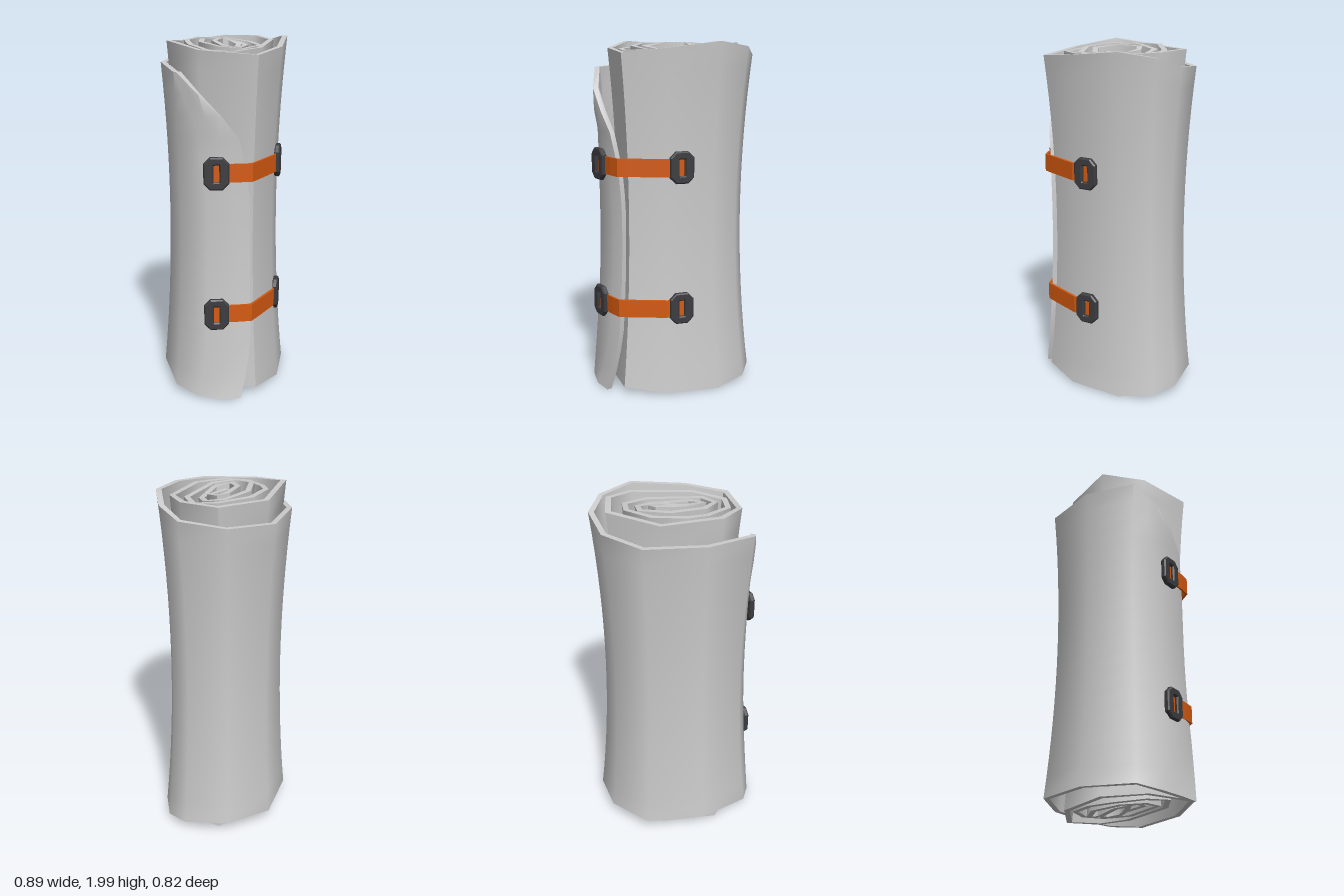
import * as THREE from 'three';
import { toCreasedNormals } from 'three/addons/utils/BufferGeometryUtils.js';

// Outer face of the rolled sheet seen from above (x, z), from the flap inwards
const SPIRAL = [
  [-0.15, 0.44], [-0.23, 0.41], [-0.385, 0.30], [-0.45, 0.104], [-0.32, -0.19],
  [-0.045, -0.412], [0.236, -0.375], [0.43, -0.206], [0.45, -0.055], [0.36, 0.13],
  [0.127, 0.341], [-0.11, 0.419], [-0.32, 0.17], [-0.338, -0.085], [-0.08, -0.286],
  [0.243, -0.30], [0.36, -0.12], [0.32, 0.06], [0.04, 0.275], [-0.17, 0.285],
  [-0.26, 0.157], [-0.23, -0.036], [-0.168, -0.157], [-0.005, -0.25], [0.188, -0.21],
  [0.28, -0.09], [0.226, 0.073], [-0.05, 0.235], [-0.18, 0.157], [-0.19, 0.007],
  [-0.06, -0.145], [0.122, -0.18], [0.2, -0.085], [0.17, 0.012], [-0.01, 0.16],
  [-0.127, 0.121], [-0.076, -0.024], [0.05, -0.114], [0.115, -0.085], [0.115, 0.017],
  [0.06, 0.06], [-0.04, 0.08],
].map(([x, z]) => new THREE.Vector2(x, z));

// Edge heights along the first turn; inner turns ripple gently
const TOPS = [1.85, 1.85, 1.85, 1.85, 1.87, 1.88, 1.89, 1.92, 1.97, 2.0, 1.965, 1.94, 1.96, 1.995];
const BOTTOMS = [0.02, 0.01, 0.01, 0.05, 0.07, 0.08, 0.075, 0.06, 0.035, 0.01, 0.02, 0.045, 0.03, 0.01];
// Height -> spiral position of the slanted flap edge
const FLAP = [[0.02, 0.9], [0.1, 0.6], [0.33, 0.05], [0.75, 0], [1.1, 0], [1.3, 0.28], [1.55, 1.1], [1.85, 2.9]];
const THICK = 0.03;
const ROWS = 16;

const waist = y => 0.86 + 0.14 * (y - 1) ** 2;

function lerpList(list, p) {
  const i = Math.min(Math.floor(p), list.length - 2);
  return THREE.MathUtils.lerp(list[i], list[i + 1], p - i);
}

function flapStart(y) {
  if (y <= FLAP[0][0]) return FLAP[0][1];
  for (let i = 1; i < FLAP.length; i++) {
    const [y0, p0] = FLAP[i - 1], [y1, p1] = FLAP[i];
    if (y <= y1) return p0 + (p1 - p0) * (y - y0) / (y1 - y0);
  }
  return FLAP[FLAP.length - 1][1];
}

// Mitred inward offsets for the spiral corners
function inwardNormals(points) {
  const perp = (a, b) => new THREE.Vector2(a.y - b.y, b.x - a.x).normalize();
  return points.map((pt, i) => {
    const n0 = perp(points[Math.max(i - 1, 0)], points[Math.max(i, 1)]);
    const last = points.length - 1;
    const n1 = perp(points[Math.min(i, last - 1)], points[Math.min(i + 1, last)]);
    const m = n0.clone().add(n1).normalize();
    return m.divideScalar(Math.max(m.dot(n1), 0.6));
  });
}

function sheetGeometry() {
  const n = SPIRAL.length, m = 2 * n;
  const normals = inwardNormals(SPIRAL);
  const tops = SPIRAL.map((_, i) => TOPS[i] ?? 1.97 + 0.02 * Math.sin(i * 0.9));
  const bottoms = SPIRAL.map((_, i) => BOTTOMS[i] ?? 0.025 + 0.02 * Math.sin(i * 0.8));
  const pos = [], index = [];

  // Each row is a closed loop: outer face inwards, then inner face back out
  for (let r = 0; r <= ROWS; r++) {
    const v = r / ROWS;
    const start = flapStart(0.02 + 1.83 * v);
    for (let c = 0; c < m; c++) {
      const inner = c >= n;
      const i = inner ? m - 1 - c : c;
      const p = i < 3 ? start + (3 - start) * i / 3 : i;
      const k = Math.min(Math.floor(p), n - 2);
      const at = SPIRAL[k].clone().lerp(SPIRAL[k + 1], p - k);
      const y = THREE.MathUtils.lerp(lerpList(bottoms, p), lerpList(tops, p), v);
      at.multiplyScalar(waist(y));
      if (inner) at.addScaledVector(normals[k].clone().lerp(normals[k + 1], p - k), THICK);
      pos.push(at.x, y, at.y);
    }
  }
  for (let r = 0; r < ROWS; r++) {
    for (let c = 0; c < m; c++) {
      const a = r * m + c, b = r * m + (c + 1) % m;
      index.push(b, a, a + m, b, a + m, b + m);
    }
  }
  // Top and bottom rims
  const t = ROWS * m;
  for (let c = 0; c < n - 1; c++) {
    const a = c, b = c + 1, ai = m - 1 - c, bi = m - 2 - c;
    index.push(t + a, t + ai, t + b, t + b, t + ai, t + bi);
    index.push(a, b, ai, b, bi, ai);
  }
  const geo = new THREE.BufferGeometry();
  geo.setAttribute('position', new THREE.Float32BufferAttribute(pos, 3));
  geo.setIndex(index);
  return toCreasedNormals(geo, 1.0);
}

// Band following the front of the roll
function strapGeometry() {
  const path = [[-0.32, 0.295], [-0.2, 0.377], [-0.14, 0.41], [-0.09, 0.393], [0.11, 0.318], [0.195, 0.24]];
  const shape = new THREE.Shape();
  path.forEach(([x, z], i) => (i ? shape.lineTo(x, -z) : shape.moveTo(x, -z)));
  [...path].reverse().forEach(([x, z]) => shape.lineTo(x - 0.002, -z + 0.014));
  const geo = new THREE.ExtrudeGeometry(shape, { depth: 0.1, bevelEnabled: false });
  geo.rotateX(-Math.PI / 2);
  geo.translate(0, -0.05, 0);
  return geo;
}

function chamferedRect(Target, w, h, c) {
  const s = new Target();
  s.moveTo(-w + c, -h);
  [[w - c, -h], [w, -h + c], [w, h - c], [w - c, h], [-w + c, h], [-w, h - c], [-w, -h + c]]
    .forEach(([x, y]) => s.lineTo(x, y));
  s.closePath();
  return s;
}

function buckleGeometry() {
  const shape = chamferedRect(THREE.Shape, 0.062, 0.082, 0.03);
  shape.holes.push(chamferedRect(THREE.Path, 0.023, 0.053, 0.006));
  const geo = new THREE.ExtrudeGeometry(shape, {
    depth: 0.018, bevelEnabled: true, bevelSize: 0.007, bevelThickness: 0.007, bevelSegments: 1,
  });
  geo.translate(0, 0, -0.009);
  return geo;
}

export function createModel() {
  const model = new THREE.Group();
  model.name = 'rolledMat';
  const grey = new THREE.MeshStandardMaterial({ color: 0xcccccc });
  const orange = new THREE.MeshStandardMaterial({ color: 0xd45a10, side: THREE.DoubleSide });
  const dark = new THREE.MeshStandardMaterial({ color: 0x3c3c40 });

  const add = (name, geo, mat, parent) => {
    const mesh = new THREE.Mesh(geo, mat);
    mesh.name = name;
    parent.add(mesh);
    return mesh;
  };

  add('rolledSheet', sheetGeometry(), grey, model);

  // Two straps, each with a buckle at both ends
  const strap = strapGeometry(), buckle = buckleGeometry();
  for (const [name, y] of [['upperStrap', 1.32], ['lowerStrap', 0.515]]) {
    const group = new THREE.Group();
    group.name = name;
    group.position.y = y;
    add('band', strap, orange, group);
    const right = add('rightBuckle', buckle, dark, group);
    right.position.set(-0.308, 0, 0.305);
    right.rotation.y = -0.62;
    const left = add('leftBuckle', buckle, dark, group);
    left.position.set(0.18, 0, 0.258);
    left.rotation.y = 0.74;
    model.add(group);
  }
  return model;
}
